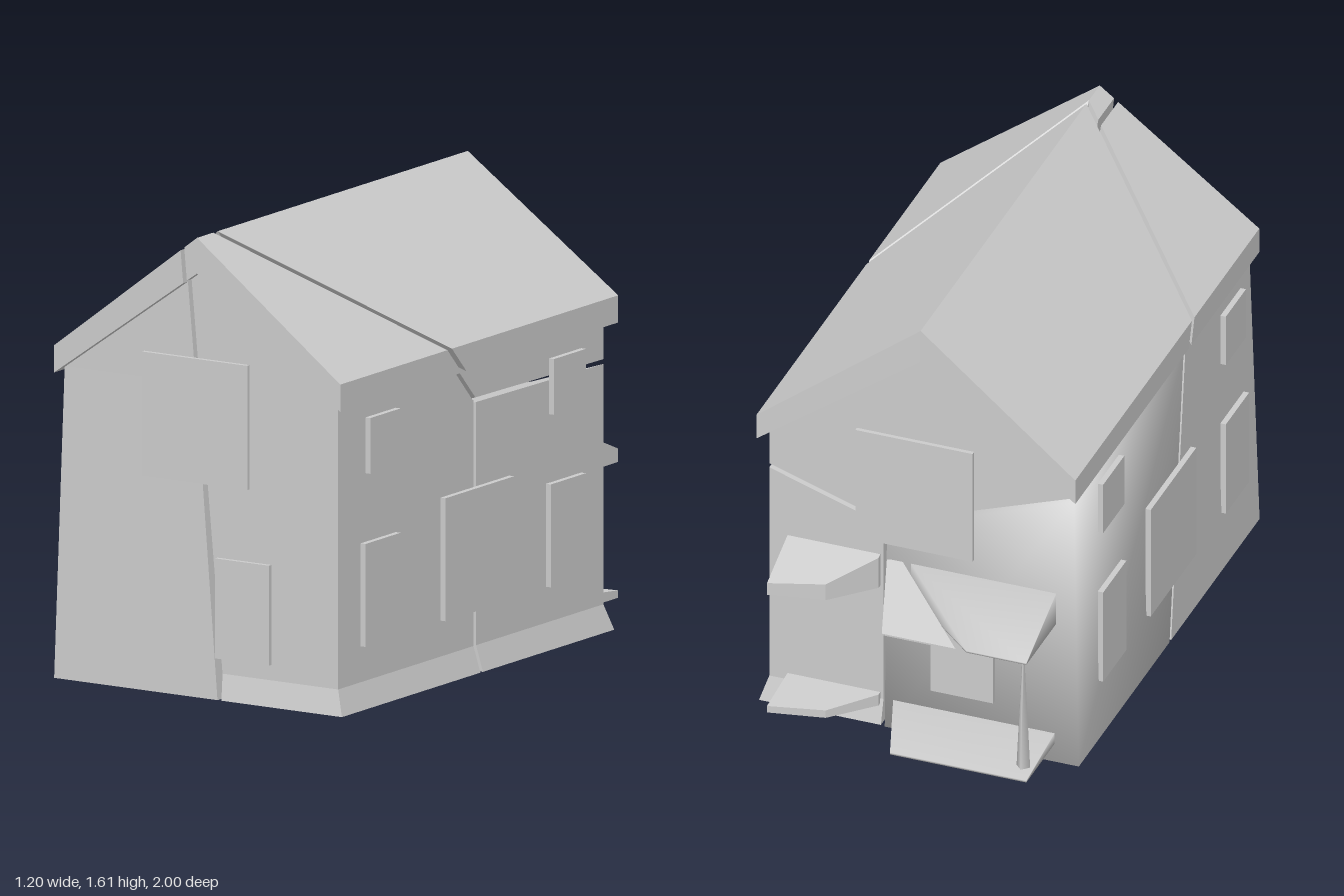
import * as THREE from 'three';
import { mergeVertices } from 'three/addons/utils/BufferGeometryUtils.js';

const V = (x, y, z) => new THREE.Vector3(x, y, z);
const material = new THREE.MeshStandardMaterial({ color: 0xcccccc, side: THREE.DoubleSide });
const centroid = pts => pts.reduce((s, p) => s.add(p), V(0, 0, 0)).divideScalar(pts.length);

// Convex solid, as a list of polygon faces, between two matching rings
function prism(a, b) {
  const sides = a.map((p, i) => {
    const j = (i + 1) % a.length;
    return [p, a[j], b[j], b[i]];
  });
  return [a, b, ...sides];
}

// Keeps the part of a convex solid in front of a plane and caps the cut
function clip(faces, plane) {
  const cap = [];
  const out = faces.map(f => {
    const r = [];
    f.forEach((p, i) => {
      const q = f[(i + 1) % f.length];
      const a = plane.distanceToPoint(p), b = plane.distanceToPoint(q);
      if (a >= 0) r.push(p);
      if (a * b < 0) {
        const m = p.clone().lerp(q, a / (a - b));
        r.push(m);
        cap.push(m);
      }
    });
    return r;
  }).filter(r => r.length > 2);
  if (cap.length > 2) {
    const c = centroid(cap);
    const u = cap[0].clone().sub(c).normalize();
    const v = plane.normal.clone().cross(u);
    const angle = p => Math.atan2(p.clone().sub(c).dot(v), p.clone().sub(c).dot(u));
    out.push(cap.sort((p, q) => angle(p) - angle(q)));
  }
  return out;
}

// Turns a convex solid into a faceted or smooth mesh with outward faces
function solid(name, faces, smooth = false) {
  const mid = centroid(faces.flat());
  const pos = [];
  for (const f of faces) {
    const n = V(0, 0, 0);
    f.forEach((p, i) => n.add(p.clone().cross(f[(i + 1) % f.length])));
    const ring = n.dot(centroid(f).sub(mid)) < 0 ? [...f].reverse() : f;
    for (let i = 1; i < ring.length - 1; i++)
      for (const p of [ring[0], ring[i], ring[i + 1]]) pos.push(p.x, p.y, p.z);
  }
  let g = new THREE.BufferGeometry();
  g.setAttribute('position', new THREE.Float32BufferAttribute(pos, 3));
  if (smooth) g = mergeVertices(g, 1e-4);
  g.computeVertexNormals();
  const mesh = new THREE.Mesh(g, material);
  mesh.name = name;
  return mesh;
}

// Plane through three points, with its front towards a fourth
function cut(a, b, c, front) {
  const p = new THREE.Plane().setFromCoplanarPoints(a, b, c);
  return p.distanceToPoint(front) < 0 ? p.negate() : p;
}
function keep(plane, side, gap = 0.008) {
  const p = plane.clone();
  if (side < 0) p.negate();
  p.constant -= gap;
  return p;
}

const rect = (y, x, zf, zb) => [V(-x, y, zf), V(x, y, zf), V(x, y, zb), V(-x, y, zb)];

export function createModel() {
  const house = new THREE.Group();
  house.name = 'crackedHouse';

  // Whole shapes that get broken up
  const skirt = prism(rect(0, 0.585, 0.975, -0.73), rect(0.09, 0.557, 0.955, -0.705));
  const walls = prism(rect(0.09, 0.557, 0.955, -0.705), rect(1.09, 0.557, 0.955, -0.705));
  const taper = prism(rect(0, 0.59, 0.975, -0.735), rect(1.09, 0.56, 0.955, -0.705));
  const gableRing = z => [V(-0.557, 1.09, z), V(0.557, 1.09, z), V(0, 1.5, z)];
  const gable = prism(gableRing(0.955), gableRing(-0.705));
  const slabRing = (s, zRidge, zEave) => [V(0, 1.61, zRidge), V(s * 0.585, 1.165, zEave),
    V(s * 0.585, 1.07, zEave), V(0, 1.485, zRidge)];
  const slab = s => prism(slabRing(s, 0.985, 0.985), slabRing(s, -0.71, -0.755));

  // Crack planes
  const up = V(0, 9, 0), front = V(0, 0, 9), right = V(9, 0, 0);
  const frontCrack = cut(V(0.085, 0, 0), V(-0.063, 1.6, 0), V(0.085, 0, 1), right);
  const backCrack = cut(V(0.13, 0, 0), V(0.13, 1, 0), V(0.13, 0, 1), right);
  const levelR = cut(V(0.56, 0.95, 0.1), V(0.56, 0.94, -0.71), V(0.13, 0.8, -0.71), up);
  const levelL = cut(V(-0.56, 1.05, 0.3), V(-0.56, 1.05, -0.71), V(0.13, 0.8, -0.71), up);
  const lowR = cut(V(0.56, 0, 0.1), V(0.56, 1, 0.1), V(0, 0, 0.1), front);
  const lowL = cut(V(-0.56, 0, 0.13), V(-0.56, 1.05, 0.34), V(0, 0, 0.11), front);
  const highR = cut(V(0.56, 0.95, 0.1), V(0.585, 1.165, 0.3), V(0, 1.61, 0.87), front);
  const highL = cut(V(-0.56, 1.05, 0.34), V(-0.585, 1.165, 0.36), V(0, 1.61, 0.87), front);
  const above = y => new THREE.Plane(V(0, 1, 0), -y);
  const below = y => new THREE.Plane(V(0, -1, 0), y);

  // Fragments: name, whole shapes, planes, smooth
  const fragments = [
    ['frontRightLower', [skirt, walls], [keep(frontCrack, 1), keep(lowR, 1), below(0.95)]],
    ['frontRightUpper', [walls, gable], [keep(frontCrack, 1), keep(highR, 1), above(0.95)]],
    ['frontLeftLower', [taper], [keep(frontCrack, -1), keep(lowL, 1), below(1.05)]],
    ['frontLeftUpper', [taper, gable], [keep(frontCrack, -1), keep(highL, 1), above(1.05)]],
    ['backRightLower', [skirt, walls], [keep(backCrack, 1), keep(lowR, -1), keep(levelR, -1)]],
    ['backRightUpper', [walls, gable], [keep(backCrack, 1, 0), keep(highR, -1), keep(levelR, 1)]],
    ['backLeftLower', [taper], [keep(backCrack, -1), keep(lowL, -1), keep(levelL, -1)], true],
    ['backLeftUpper', [walls, gable], [keep(backCrack, -1, 0), keep(highL, -1), keep(levelL, 1)]],
    ['roofFrontRight', [slab(1)], [keep(highR, 1, 0.01)]],
    ['roofBackRight', [slab(1)], [keep(highR, -1, 0.01)]],
    ['roofFrontLeft', [slab(-1)], [keep(highL, 1, 0.01), keep(frontCrack, -1)]],
    ['roofFrontSliver', [slab(-1)], [keep(highL, 1, 0.01), keep(frontCrack, 1)]],
    ['roofBackLeft', [slab(-1)], [keep(highL, -1, 0.01)]],
  ];
  for (const [name, shapes, planes, smooth] of fragments)
    for (const s of shapes) {
      const faces = planes.reduce(clip, s);
      if (faces.length > 3) house.add(solid(name, faces, smooth));
    }

  // Window and door panels, given by their lower and upper corners
  function panel(name, a, b) {
    const size = b.clone().sub(a);
    const m = new THREE.Mesh(new THREE.BoxGeometry(size.x, size.y, size.z), material);
    m.position.copy(a).add(b).multiplyScalar(0.5);
    m.name = name;
    house.add(m);
  }
  const sidePanels = [[0.63, 0.82, 0.825, 1.02], [-0.53, -0.33, 0.825, 1.02],
    [0.63, 0.85, 0.225, 0.585], [-0.53, -0.31, 0.225, 0.585], [-0.08, 0.35, 0.225, 0.655]];
  for (const s of [-1, 1])
    for (const [z0, z1, y0, y1] of sidePanels)
      panel('sideWindow', V(s * 0.59 - 0.01, y0, z0), V(s * 0.59 + 0.01, y1, z1));
  panel('frontWindow', V(-0.215, 0.755, 0.985), V(0.215, 1.19, 1));
  panel('frontDoor', V(0.08, 0.15, 0.98), V(0.3, 0.5, 0.995));
  panel('backWindow', V(-0.21, 0.755, -0.76), V(0.22, 1.19, -0.745));
  panel('backDoor', V(-0.28, 0.19, -0.745), V(-0.05, 0.53, -0.73));

  // Broken back porch: slabs whose top slopes away from the wall
  function porch(name, outline, y, thick, drop, smooth) {
    const ring = h => outline.map(([x, z]) => V(x, h(z), z));
    house.add(solid(name, prism(ring(() => y), ring(z => y + thick + drop * (z + 0.71))), smooth));
  }
  const rightEnd = [[0.15, -0.7], [0.15, -0.72], [0.29, -0.86], [0.49, -0.9], [0.49, -0.7]];
  porch('porchRoofRight', rightEnd, 0.545, 0.125, 0.41);
  porch('porchRoofMiddle', [[-0.24, -1], [0.03, -1], [0.12, -0.72], [0.07, -0.71]], 0.545, 0.125, 0.41);
  porch('porchRoofLeft', [[-0.5, -0.7], [-0.5, -1], [-0.28, -1], [0.04, -0.71]], 0.545, 0.125, 0.41, true);
  porch('porchFloorRight', rightEnd, 0.07, 0.045, 0.1);
  porch('porchFloorLeft', [[-0.5, -0.7], [-0.5, -1], [0, -1], [0.1, -0.71]], 0.07, 0.045, 0.13, true);

  // Splintered porch post
  const post = new THREE.Mesh(new THREE.CylinderGeometry(0.004, 0.025, 0.44, 4), material);
  post.position.set(-0.47, 0.32, -0.95);
  post.name = 'porchPost';
  house.add(post);

  return house;
}
